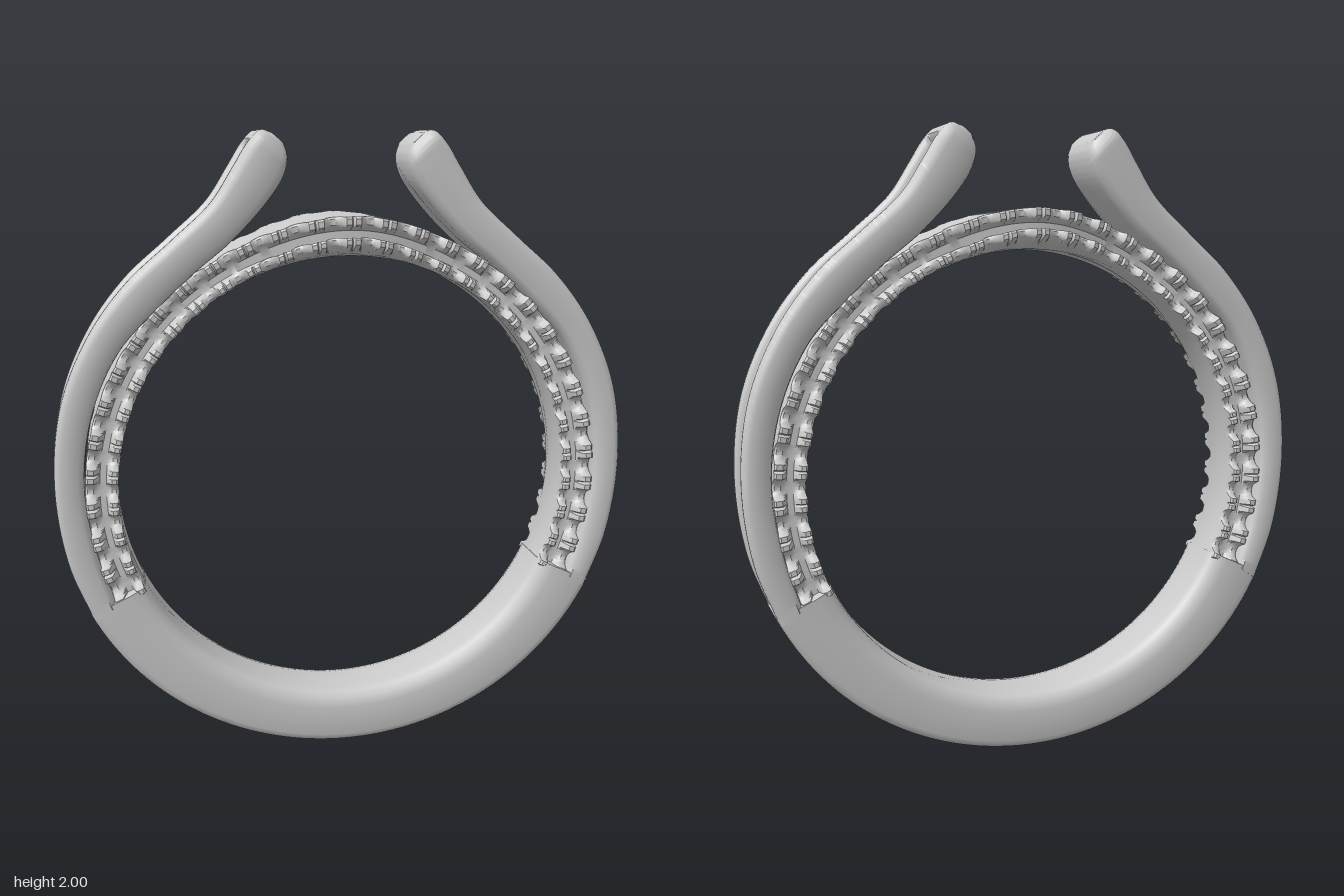
import * as THREE from 'three';
import { toCreasedNormals } from 'three/addons/utils/BufferGeometryUtils.js';

const CY = 0.895; // height of the finger hole's centre
const material = new THREE.MeshStandardMaterial({ color: 0xcccccc });
const step = THREE.MathUtils.smoothstep;

// Closed skin over a row of equal rings of points, capped at both ends
function loft(name, rings) {
  const n = rings[0].length, pos = [], index = [];
  rings.forEach(r => r.forEach(p => pos.push(p.x, p.y, p.z)));
  for (let i = 0; i < rings.length - 1; i++) {
    for (let j = 0; j < n; j++) {
      const a = i * n + j, b = i * n + (j + 1) % n;
      index.push(a, b, a + n, b, b + n, a + n);
    }
  }
  [0, rings.length - 1].forEach((row, end) => {
    const c = new THREE.Vector3();
    rings[row].forEach(p => c.addScaledVector(p, 1 / n));
    const k = pos.length / 3;
    pos.push(c.x, c.y, c.z);
    for (let j = 0; j < n; j++) {
      const a = row * n + j, b = row * n + (j + 1) % n;
      if (end) index.push(k, a, b); else index.push(k, b, a);
    }
  });
  // Turn the faces outward if the enclosed volume is negative
  const v = i => new THREE.Vector3().fromArray(pos, 3 * i);
  let volume = 0;
  for (let i = 0; i < index.length; i += 3) {
    volume += v(index[i]).dot(v(index[i + 1]).cross(v(index[i + 2])));
  }
  if (volume < 0) index.reverse();
  const g = new THREE.BufferGeometry();
  g.setAttribute('position', new THREE.Float32BufferAttribute(pos, 3));
  g.setIndex(index);
  const mesh = new THREE.Mesh(toCreasedNormals(g, 0.75), material);
  mesh.name = name;
  return mesh;
}

// Half section [[offset, z]...] with z >= 0, mirrored to a closed loop
const mirrorZ = half => [
  ...half,
  ...half.filter(p => p[1] > 0).reverse().map(([o, z]) => [o, -z]),
];

const polar = (r, a, z) => new THREE.Vector3(r * Math.cos(a), CY + r * Math.sin(a), z);

// Plain lower part of the ring, slightly thicker toward its ends
function lowerShank() {
  const section = mirrorZ([
    [0, 0], [0, 0.06], [0.03, 0.088], [0.12, 0.106], [0.3, 0.113],
    [0.86, 0.113], [0.95, 0.108], [0.99, 0.1], [1, 0.085], [1, 0],
  ]);
  const rings = [];
  for (let i = 0; i <= 80; i++) {
    const a = Math.PI + 0.43 + (Math.PI - 0.86) * i / 80;
    const outer = 0.895 + 0.024 * Math.cos(a) ** 2;
    rings.push(section.map(([o, z]) => polar(0.722 + (outer - 0.722) * o, a, z)));
  }
  return loft('lowerShank', rings);
}

// How far the lip is cut back: paired prongs with round scallops between
function scallop(phase) {
  const a = Math.abs(phase - Math.round(phase));
  const cut = Math.sqrt(Math.max(0, 1 - ((a - 0.5) / 0.27) ** 2));
  return Math.max(cut, a < 0.045 ? 0.45 : 0);
}

// Inner band with two scalloped lips on each side, flaring toward the top
function scallopedBand() {
  const rings = [], beats = 30, perBeat = 20, pitch = 0.135;
  const count = beats * perBeat;
  for (let i = 0; i <= count; i++) {
    const fromTop = (i / count - 0.5) * beats * pitch;
    const swell = Math.exp(-((fromTop / 0.33) ** 2));
    const f = 0.067 * swell;
    const w = 0.108 + f;
    const lip = w - 0.036 * scallop(fromTop / pitch);
    const floor = 0.064 + 0.75 * f;
    const top = 0.828 + 0.022 * swell;
    const section = mirrorZ([
      [0.725, 0], [0.725, 0.06], [0.727 + 0.2 * f, floor],
      [0.728 + 0.5 * f, lip - 0.006], [0.734 + 0.5 * f, lip],
      [0.748 + 0.5 * f, lip], [0.754 + 0.5 * f, lip - 0.006],
      [0.764, floor], [top - 0.044, floor],
      [top - 0.03, lip - 0.006], [top - 0.024, lip],
      [top - 0.006, lip], [top, lip - 0.006], [top, floor], [top, 0],
    ]);
    const a = Math.PI / 2 - fromTop;
    rings.push(section.map(([r, z]) => polar(r, a, z)));
  }
  return loft('scallopedBand', rings);
}

// Outer arm: channel section swept between an outer and an inner edge curve
function channelArm(side) {
  // outer x, outer y, inner x, inner y
  const rows = [
    [0.82, 0.49, 0.75, 0.54], [0.89, 0.68, 0.80, 0.70], [0.92, 0.93, 0.83, 0.92],
    [0.89, 1.18, 0.80, 1.14], [0.80, 1.39, 0.71, 1.34], [0.68, 1.55, 0.58, 1.48],
    [0.54, 1.675, 0.47, 1.58], [0.42, 1.785, 0.36, 1.67], [0.35, 1.89, 0.255, 1.78],
    [0.305, 1.96, 0.20, 1.86], [0.265, 1.997, 0.185, 1.92], [0.235, 1.99, 0.195, 1.955],
  ];
  const outer = new THREE.CatmullRomCurve3(rows.map(r => new THREE.Vector3(r[0], r[1], 0)));
  const inner = new THREE.CatmullRomCurve3(rows.map(r => new THREE.Vector3(r[2], r[3], 0)));
  outer.arcLengthDivisions = 600;
  const rings = [], count = 280, pitch = 0.07;
  for (let i = 0; i <= count; i++) {
    const u = i / count, t = outer.getUtoTmapping(u, 0);
    const o = outer.getPoint(t), n = inner.getPoint(t);
    // Groove depth, closed at both ends, with a row of round stone seats
    const open = step(u, 0.0, 0.02) * (1 - step(u, 0.945, 0.96));
    const d = 0.58 * open;
    const k = (u - 0.045) / pitch;
    const along = (k - Math.round(k)) * pitch * 1.95;
    const inRow = u > 0.02 && u < 0.93;
    const seat = z => inRow ? 0.26 * Math.sqrt(Math.max(0, 1 - (along ** 2 + z * z) / 0.028 ** 2)) : 0;
    const floor = z => [1 - d - seat(z), z];
    const zs = 1 - 0.18 * step(u, 0.965, 1);
    const section = mirrorZ([
      [0, 0], [0, 0.085], [0.06, 0.104], [0.2, 0.115], [0.75, 0.115],
      [0.9, 0.11], [0.98, 0.1], [1, 0.088], [1, 0.076], [1 - 0.06 * open, 0.065],
      [1 - 0.15 * open, 0.06], [1 - d * 0.85, 0.05], floor(0.036),
      floor(0.026), floor(0.02), floor(0.01), floor(0),
    ]);
    rings.push(section.map(([s, z]) => {
      const p = n.clone().lerp(o, s);
      return new THREE.Vector3(side * p.x, p.y, z * zs);
    }));
  }
  return loft(side > 0 ? 'leftChannelArm' : 'rightChannelArm', rings);
}

export function createModel() {
  const ring = new THREE.Group();
  ring.name = 'ring';
  ring.add(lowerShank(), scallopedBand(), channelArm(1), channelArm(-1));
  return ring;
}
